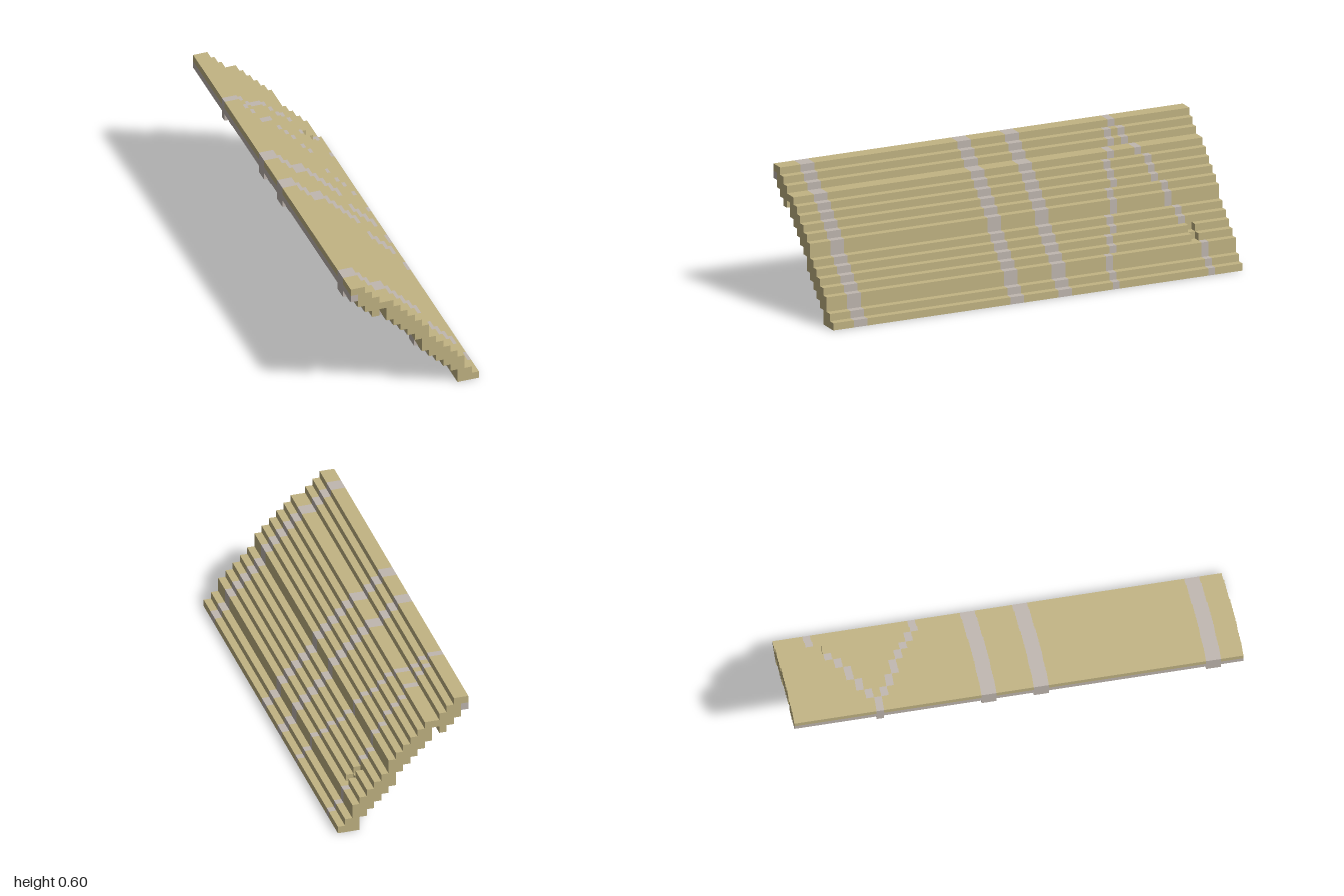
import * as THREE from 'three';
import { mergeGeometries } from 'three/addons/utils/BufferGeometryUtils.js';

const U = 1 / 30; // one block

// Bottom and top of the sloping slab for each block column, x = -9 .. 8
const BOTTOM = [16, 15, 14, 13, 14, 12, 11, 10, 9, 8, 6, 5, 4, 3, 2, 0, 0, 0];
const TOP = [18, 18, 17, 16, 15, 15, 14, 13, 12, 11, 10, 8, 7, 6, 5, 4, 2, 1];
// Spread of the two diagonal beams either side of their peak
const SPREAD = [0, 0, 1, 1, 2, 2, 3, 3, 3, 4, 4, 5, 5, 6, 6, 7, 7, 7];
const PEAK = -19;
// First block of each straight beam, two blocks wide
const BEAMS = [-5, 2, 25];

function block(x, y0, y1, z0, z1) {
  const g = new THREE.BoxGeometry(U, (y1 - y0) * U, (z1 - z0) * U);
  g.translate((x + 0.5) * U, ((y0 + y1) / 2) * U, ((z0 + z1) / 2) * U);
  return g;
}

export function createModel() {
  const straw = new THREE.MeshStandardMaterial({ color: 0xc2b483 });
  straw.name = 'straw';
  const stone = new THREE.MeshStandardMaterial({ color: 0xc0b7b0 });
  stone.name = 'paleGrey';

  const slab = [], straight = [], diagonal = [], ridge = [];

  BOTTOM.forEach((bottom, i) => {
    const x = i - 9;
    const top = TOP[i];
    // Beams hang one block below the slab and fill the groove
    const rib = x === -5 ? 12 : Math.max(0, bottom - 1);

    const beams = BEAMS.map((z) => ({ z0: z, z1: z + 2, list: straight, top }));
    for (const side of new Set([PEAK - SPREAD[i], PEAK + SPREAD[i]])) {
      // Two blocks are missing along the rear diagonal
      const gap = side === PEAK - 6;
      beams.push({ z0: side, z1: side + 1, list: diagonal, top, gap });
    }
    beams.sort((a, b) => a.z0 - b.z0);

    // Slab pieces between the beams, with a grey strip under the ridge
    const fill = (z0, z1) => {
      if (x === -9) {
        ridge.push(block(x, 16, 17, z0, z1));
        slab.push(block(x, 17, 18, z0, z1));
      } else {
        slab.push(block(x, bottom, top, z0, z1));
      }
    };
    let z = -30;
    for (const b of beams) {
      fill(z, b.z0);
      if (b.gap) {
        slab.push(block(x, bottom, top - 1, b.z0, b.z1));
        b.list.push(block(x, rib, bottom, b.z0, b.z1));
      } else {
        b.list.push(block(x, rib, top, b.z0, b.z1));
      }
      z = b.z1;
    }
    fill(z, 30);
  });

  const group = new THREE.Group();
  group.name = 'steppedRoof';
  const add = (name, parts, material) => {
    const mesh = new THREE.Mesh(mergeGeometries(parts), material);
    mesh.name = name;
    group.add(mesh);
  };
  add('roofSlab', slab, straw);
  add('ridgeStrip', ridge, stone);
  add('straightBeams', straight, stone);
  add('diagonalBeams', diagonal, stone);
  return group;
}
